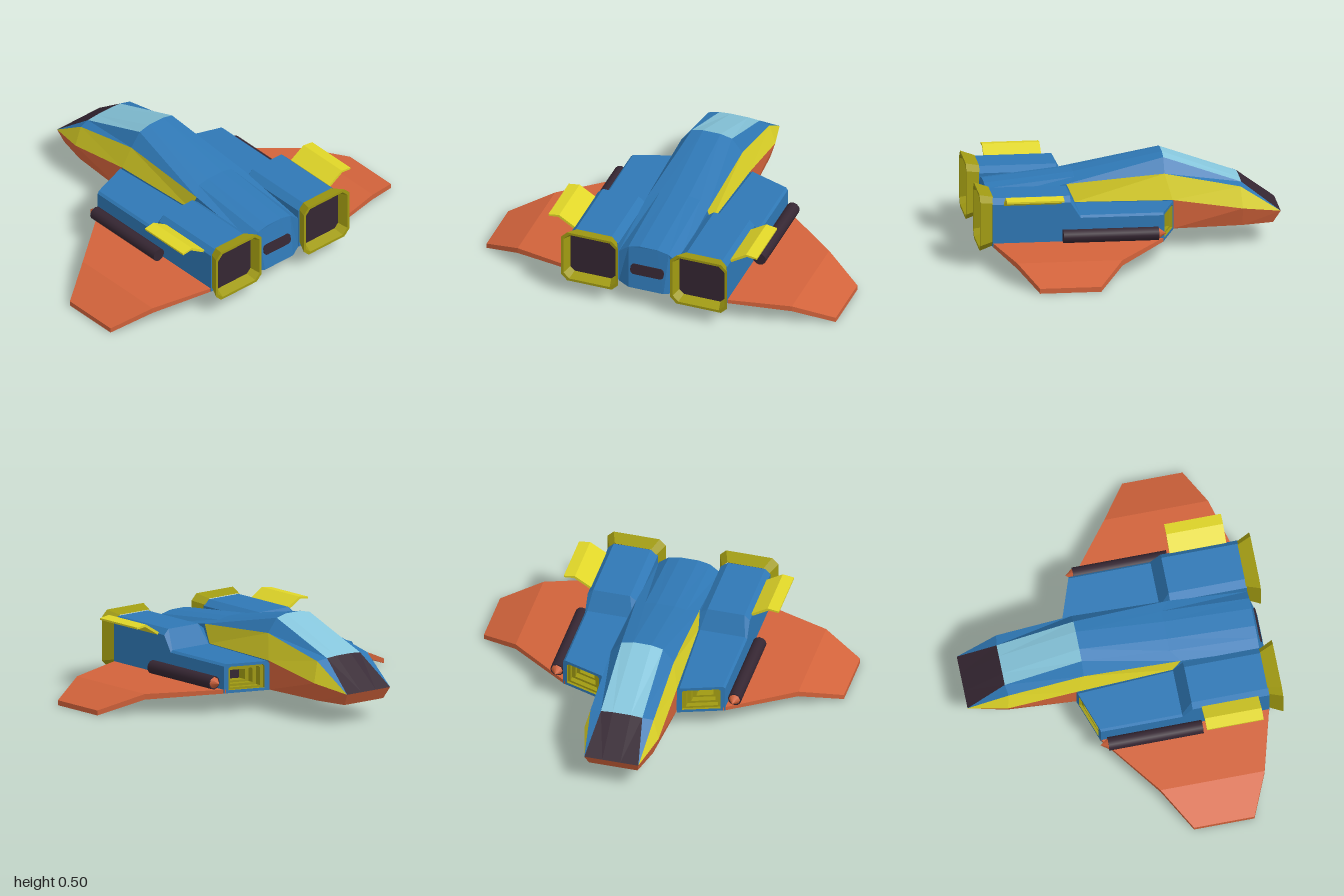
import * as THREE from 'three';

const mat = (name, color) => {
  const m = new THREE.MeshStandardMaterial({ color });
  m.name = name;
  return m;
};

// Flat-faced geometry from a list of corner vectors, three per triangle
function fromTriangles(pts) {
  const g = new THREE.BufferGeometry().setFromPoints(pts);
  g.computeVertexNormals();
  return g;
}

// Skin consecutive loops of [x, y, z]; optional flat caps at either end
function loft(loops, capStart = false, capEnd = false) {
  const L = loops.map(l => l.map(p => new THREE.Vector3(...p)));
  const out = [], n = L[0].length;
  for (let k = 0; k < L.length - 1; k++) {
    const a = L[k], b = L[k + 1];
    for (let i = 0; i < n; i++) {
      const j = (i + 1) % n;
      out.push(a[i], a[j], b[j], a[i], b[j], b[i]);
    }
  }
  const e = L[L.length - 1];
  for (let i = 1; i < n - 1; i++) {
    if (capStart) out.push(L[0][0], L[0][i + 1], L[0][i]);
    if (capEnd) out.push(e[0], e[i], e[i + 1]);
  }
  return fromTriangles(out);
}

// Hull panels: polygons turned to face away from the hull's core
function panels(polys) {
  const out = [];
  for (const poly of polys) {
    const v = poly.map(p => new THREE.Vector3(...p));
    for (let i = 1; i < v.length - 1; i++) {
      const t = [v[0], v[i], v[i + 1]];
      const nrm = t[1].clone().sub(t[0]).cross(t[2].clone().sub(t[0]));
      if (nrm.length() < 1e-7) continue;
      const c = t[0].clone().add(t[1]).add(t[2]).divideScalar(3);
      c.sub(new THREE.Vector3(0, 0.22, THREE.MathUtils.clamp(c.z, -0.6, 0.6)));
      out.push(...(nrm.dot(c) < 0 ? [t[0], t[2], t[1]] : t));
    }
  }
  return fromTriangles(out);
}

// Mirror a geometry across x = 0, keeping its faces outward
function mirrored(geo) {
  const g = geo.index ? geo.toNonIndexed() : geo.clone();
  g.scale(-1, 1, 1);
  for (const a of Object.values(g.attributes)) {
    const s = a.itemSize;
    for (let i = 0; i < a.count; i += 3)
      for (let k = 0; k < s; k++) {
        const p = (i + 1) * s + k, q = (i + 2) * s + k;
        [a.array[p], a.array[q]] = [a.array[q], a.array[p]];
      }
  }
  return g;
}

export function createModel() {
  const blue = mat('hull blue', 0x2f78b5), yellow = mat('bright yellow', 0xe0d628);
  const olive = mat('engine olive', 0xa09a12), orange = mat('wing orange', 0xd2633b);
  const dark = mat('dark plum', 0x352632), glass = mat('canopy glass', 0x86c5db);

  const ship = new THREE.Group();
  ship.name = 'spaceship';
  const add = (name, geo, m) => {
    const mesh = new THREE.Mesh(geo, m);
    mesh.name = name;
    ship.add(mesh);
    return mesh;
  };
  const both = (name, geo, m) => {
    add(name + 'Left', geo, m);
    add(name + 'Right', mirrored(geo), m);
  };

  // Fuselage lines from nose to tail: crown, roof edge, shoulder, belt, keel
  const C = [[0.05, 0.175, -0.83], [0.05, 0.34, -0.62], [0.05, 0.5, -0.2], [0.05, 0.405, 0.28], [0.05, 0.357, 0.76]];
  const R = [[0.15, 0.175, -0.83], [0.115, 0.335, -0.62], [0.115, 0.485, -0.2], [0.115, 0.393, 0.28], [0.115, 0.343, 0.76]];
  const S = [[0.15, 0.175, -0.83], [0.175, 0.325, -0.61], [0.175, 0.41, -0.2], [0.175, 0.37, 0.33], [0.17, 0.3, 0.76]];
  const B = [[0.15, 0.175, -0.83], [0.205, 0.21, -0.62], [0.205, 0.27, -0.24], [0.18, 0.27, 0.285]];
  const K = [[0.135, 0.11, -0.79], [0.175, 0.11, -0.62], [0.2, 0.11, -0.24], [0.17, 0.11, 0.285], [0.17, 0.11, 0.76], [0.1, 0.11, 0.8]];
  const flip = ([x, y, z]) => [-x, y, z];
  const strip = (a, b, i) => [a[i], a[i + 1], b[i + 1], b[i]];
  const pair = q => [q, q.map(flip)];
  const across = (a, i) => [a[i], a[i + 1], flip(a[i + 1]), flip(a[i])];
  const roof = i => [across(C, i), ...pair(strip(C, R, i))];

  add('windshield', panels(roof(0)), dark);
  add('canopy', panels(roof(1)), glass);
  add('upperHull', panels([
    ...roof(2), ...roof(3), ...[0, 1, 2, 3].flatMap(i => pair(strip(R, S, i))),
    ...pair([B[3], S[3], S[4], K[4], K[3]]), ...pair(strip(B, K, 2)),
  ]), blue);
  add('sidePanels', panels([0, 1, 2].flatMap(i => pair(strip(S, B, i)))), yellow);
  add('noseSkirt', panels([
    ...[0, 1].flatMap(i => pair(strip(B, K, i))), [B[0], K[0], flip(K[0]), flip(B[0])],
  ]), orange);
  add('belly', panels([0, 1, 2, 3, 4].map(i => across(K, i))), blue);
  add('tailFace', panels([
    [C[4], R[4], K[5], flip(K[5]), flip(R[4]), flip(C[4])], ...pair([R[4], S[4], K[4], K[5]]),
  ]), blue);

  // Rounded vent on the tail
  const slot = new THREE.Shape();
  slot.absarc(0.073, 0.008, 0.022, 0, Math.PI / 2);
  slot.absarc(-0.073, 0.008, 0.022, Math.PI / 2, Math.PI);
  slot.absarc(-0.073, -0.008, 0.022, Math.PI, Math.PI * 1.5);
  slot.absarc(0.073, -0.008, 0.022, Math.PI * 1.5, Math.PI * 2);
  const vent = add('tailVent', new THREE.ExtrudeGeometry(slot, { depth: 0.008, bevelEnabled: false, curveSegments: 4 }), dark);
  vent.position.set(0, 0.222, 0.779);
  vent.rotation.x = -0.17;

  // Nacelles with a slanted intake mouth and a raised rear half
  const frontZ = x => -0.245 + 0.085 * (x - 0.205) / 0.245;
  const mouth = (s, depth) => [[0.205, 0.11], [0.45, 0.11], [0.45, 0.258], [0.438, 0.27], [0.217, 0.27], [0.205, 0.258]]
    .map(([x, y]) => [0.3275 + (x - 0.3275) * s, 0.19 + (y - 0.19) * s])
    .map(([x, y]) => [x, y, frontZ(x) + depth]);
  const section = (z, xi, side, top, inX, outX) =>
    [[xi, 0.11, z], [0.45, 0.11, z], [0.45, side, z], [outX, top, z], [inX, top, z], [xi, side, z]];
  both('nacelle', loft([
    mouth(0.8, 0), mouth(1, 0),
    section(0.285, 0.175, 0.258, 0.27, 0.187, 0.438),
    section(0.34, 0.175, 0.345, 0.375, 0.215, 0.42),
    section(0.76, 0.175, 0.345, 0.375, 0.215, 0.42),
  ], false, true), blue);
  both('intakeTunnel', loft([
    mouth(0.36, 0.13), mouth(0.36, 0.08), mouth(0.5, 0.08), mouth(0.5, 0.045),
    mouth(0.66, 0.045), mouth(0.66, 0.015), mouth(0.8, 0.015), mouth(0.8, 0),
  ]), olive);
  both('intakeCore', loft([mouth(0.36, 0.13), mouth(0.36, 0.135)], true), dark);

  // Flared eight-sided exhaust rings
  const oct = (w, h, c, z) => [[-w + c, -h], [w - c, -h], [w, -h + c], [w, h - c], [w - c, h], [-w + c, h], [-w, h - c], [-w, -h + c]]
    .map(([x, y]) => [0.3125 + x, 0.245 + y, z]);
  both('exhaustRing', loft([
    oct(0.13, 0.135, 0.03, 0.755), oct(0.1625, 0.155, 0.035, 0.83),
    oct(0.148, 0.141, 0.032, 0.83), oct(0.13, 0.122, 0.025, 0.775),
  ]), olive);
  both('exhaustPlate', loft([oct(0.13, 0.122, 0.025, 0.77), oct(0.13, 0.122, 0.025, 0.775)], false, true), dark);

  // Drooping wings
  const rib = (x, lead, trail, top, bottom) =>
    [[x, bottom, trail], [x, bottom, lead], [x, top, lead], [x, top, trail]];
  both('wing', loft([
    rib(0.44, -0.165, 0.76, 0.131, 0.11),
    rib(0.785, 0.1, 0.667, 0.111, 0.08),
    rib(1, 0.24, 0.57, 0.027, 0),
  ], true, true), orange);

  // Cannons beside the nacelles, with pointed muzzles
  both('cannon', new THREE.CylinderGeometry(0.037, 0.037, 0.515, 12).rotateX(Math.PI / 2).translate(0.493, 0.17, 0.128), dark);
  both('cannonTip', new THREE.ConeGeometry(0.032, 0.042, 8).rotateX(-Math.PI / 2).translate(0.493, 0.17, -0.15), orange);

  // Bent fins reaching out from the nacelle shoulders
  const fin = new THREE.Shape([[0.445, 0.335], [0.54, 0.394], [0.597, 0.388], [0.597, 0.398], [0.535, 0.407], [0.445, 0.352]]
    .map(p => new THREE.Vector2(...p)));
  both('fin', new THREE.ExtrudeGeometry(fin, { depth: 0.31, bevelEnabled: false }).translate(0, 0, 0.39), yellow);

  return ship;
}
